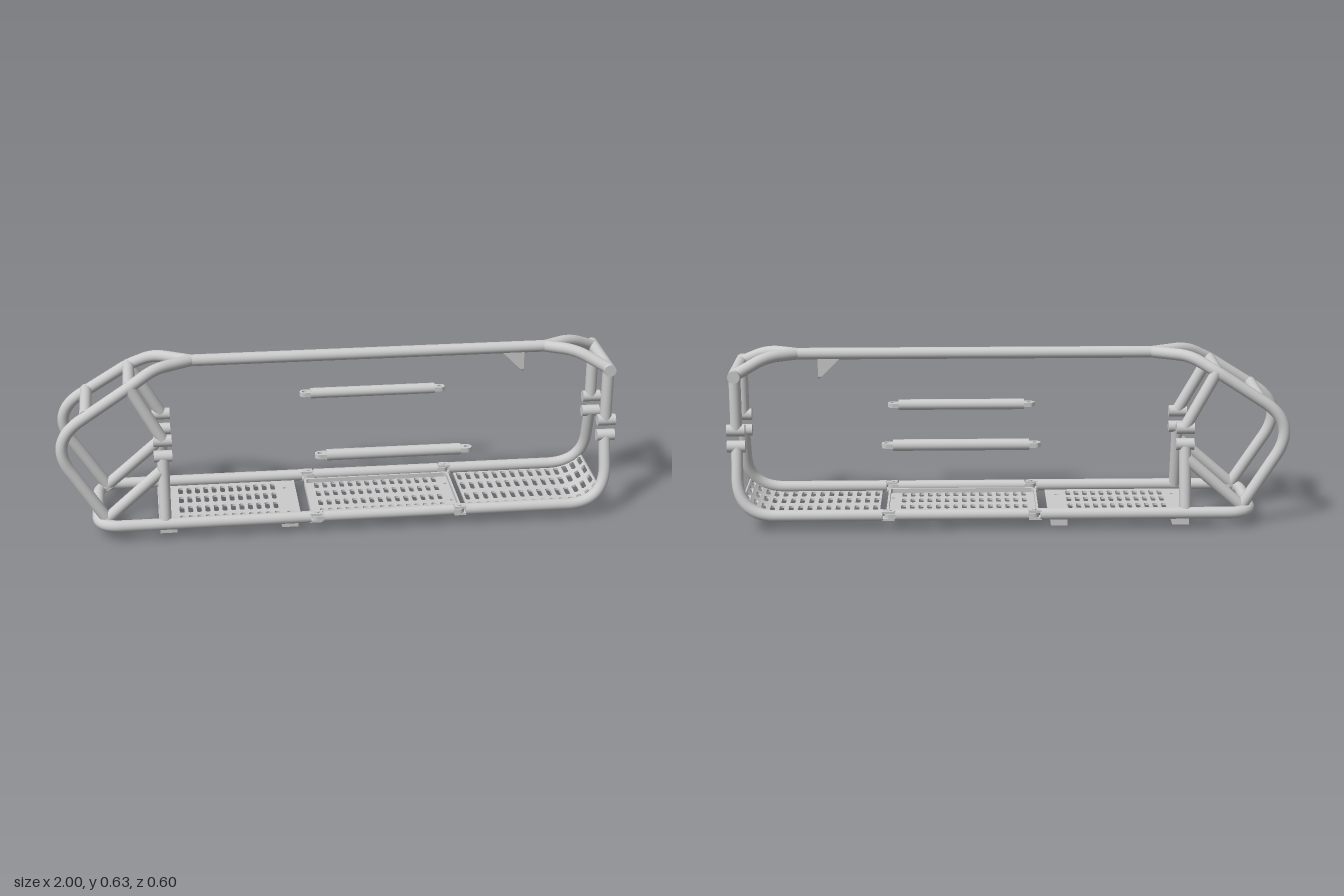
import * as THREE from 'three';

const R = 0.021;            // main tube radius
const RAIL_Y = 0.058, RAIL_Z = 0.178;
const V = (x, y, z) => new THREE.Vector3(x, y, z);

export function createModel() {
  const model = new THREE.Group();
  const mat = new THREE.MeshStandardMaterial({ color: 0xcccccc, side: THREE.DoubleSide });

  function add(name, geo, parent = model) {
    const mesh = new THREE.Mesh(geo, mat);
    mesh.name = name;
    parent.add(mesh);
    return mesh;
  }

  // straight capped rod between two points
  function rod(name, a, b, r = R, parent = model) {
    const mesh = add(name, new THREE.CylinderGeometry(r, r, a.distanceTo(b), 24), parent);
    mesh.position.copy(a).lerp(b, 0.5);
    mesh.quaternion.setFromUnitVectors(V(0, 1, 0), b.clone().sub(a).normalize());
    return mesh;
  }

  // bent tube: polyline whose inner corners are rounded; bends[i] is the tangent length
  function bentTube(name, pts, bends) {
    const path = new THREE.CurvePath();
    let from = pts[0];
    for (let i = 1; i < pts.length - 1; i++) {
      const toward = (p) => p.clone().sub(pts[i]).setLength(bends[i - 1]).add(pts[i]);
      const a = toward(pts[i - 1]), b = toward(pts[i + 1]);
      path.add(new THREE.LineCurve3(from, a));
      path.add(new THREE.QuadraticBezierCurve3(a, pts[i], b));
      from = b;
    }
    path.add(new THREE.LineCurve3(from, pts[pts.length - 1]));
    return add(name, new THREE.TubeGeometry(path, 120, R, 20));
  }

  // shape in the x/z plane laid flat, bottom at y
  function flat(shape, y, t) {
    const geo = new THREE.ExtrudeGeometry(shape, { depth: t, bevelEnabled: false, curveSegments: 6 });
    return geo.rotateX(Math.PI / 2).translate(0, y + t, 0);
  }

  function roundRect(target, x0, x1, z0, z1, r) {
    target.moveTo(x0 + r, z0);
    target.lineTo(x1 - r, z0);
    if (r) target.absarc(x1 - r, z0 + r, r, -Math.PI / 2, 0);
    target.lineTo(x1, z1 - r);
    if (r) target.absarc(x1 - r, z1 - r, r, 0, Math.PI / 2);
    target.lineTo(x0 + r, z1);
    if (r) target.absarc(x0 + r, z1 - r, r, Math.PI / 2, Math.PI);
    target.lineTo(x0, z0 + r);
    if (r) target.absarc(x0 + r, z0 + r, r, Math.PI, Math.PI * 1.5);
    return target;
  }

  // slotted plate; rows are slot centres in z, holes are [x, z]
  function plate(x0, x1, half, r, slotXs, rows, len, holes = []) {
    const shape = roundRect(new THREE.Shape(), x0, x1, -half, half, r);
    for (const x of slotXs) for (const z of rows)
      shape.holes.push(roundRect(new THREE.Path(), x - 0.009, x + 0.009, z - len / 2, z + len / 2, 0.0085));
    for (const [x, z] of holes)
      shape.holes.push(new THREE.Path().absarc(x, z, 0.007, 0, Math.PI * 2));
    return flat(shape, 0.036, 0.008);
  }
  const steps = (a, pitch, n) => Array.from({ length: n }, (_, i) => a + i * pitch);

  // floor panels
  add('rearFloorPanel', plate(-0.65, -0.14, 0.165, 0, steps(-0.565, 0.031, 12),
    [-0.115, -0.04, 0.04, 0.115], 0.052, [[-0.18, 0.1], [-0.18, -0.1], [-0.61, 0.1], [-0.61, -0.1]]));
  add('middleFloorPanel', plate(-0.105, 0.44, 0.14, 0.015, steps(-0.06, 0.0315, 15),
    [-0.108, -0.038, 0.038, 0.108], 0.045, [[0.42, 0.07], [0.42, -0.07]]));
  const rim = roundRect(new THREE.Shape(), -0.105, 0.44, -0.14, 0.14, 0.015);
  rim.holes.push(roundRect(new THREE.Path(), -0.097, 0.432, -0.132, 0.132, 0.01));
  add('middlePanelRim', flat(rim, 0.036, 0.024));

  // end panel: one strip per slot row, curled up along the rail bend
  const endPanel = new THREE.Group();
  endPanel.name = 'endFloorPanel';
  model.add(endPanel);
  const x0 = 0.465, count = 15, pitch = (0.974 - x0) / count;
  for (let i = 0; i < count; i++) {
    const a = x0 + i * pitch;
    const geo = plate(a, a + pitch, 0.172, 0, [a + pitch / 2], [-0.126, -0.045, 0.045, 0.126], 0.058);
    const p = geo.attributes.position;
    for (let k = 0; k < p.count; k++) {
      const x = p.getX(k), lift = p.getY(k) - 0.036;
      const ang = Math.max(0, x - 0.835) / 0.15;
      if (ang > 0) {
        const r = 0.152 - lift, y = 0.188 - r * Math.cos(ang);
        p.setXYZ(k, 0.835 + r * Math.sin(ang), y, p.getZ(k) * (1 - 1.5 * Math.max(0, y - 0.044)));
      }
    }
    geo.computeVertexNormals();
    add('endFloorStrip', geo, endPanel);
  }

  // feet under the floor
  for (const x of [-0.617, -0.18])
    add('crossFoot', new THREE.BoxGeometry(0.06, 0.037, 0.27)).position.set(x, 0.0185, 0);

  // bar with a pierced eye at each end
  function eyeBar(name, y, z) {
    const bar = new THREE.Group();
    bar.name = name;
    rod('barBody', V(-0.235, 0, 0), V(0.235, 0, 0), 0.02, bar);
    for (const s of [1, -1]) {
      const shape = new THREE.Shape();
      shape.moveTo(0.23, -0.018);
      shape.lineTo(0.257, -0.018);
      shape.absarc(0.257, 0, 0.018, -Math.PI / 2, Math.PI / 2);
      shape.lineTo(0.23, 0.018);
      shape.holes.push(new THREE.Path().absarc(0.257, 0, 0.009, 0, Math.PI * 2));
      const eye = add('barEye', flat(shape, -0.008, 0.016), bar);
      if (s < 0) eye.rotation.y = Math.PI;
    }
    bar.position.set(0.17, y, z);
    model.add(bar);
  }

  // lower rear loop runs round the end from one side to the other
  bentTube('rearRailLoop', [V(-0.118, RAIL_Y, RAIL_Z), V(-0.865, RAIL_Y, RAIL_Z),
    V(-0.865, RAIL_Y, -RAIL_Z), V(-0.118, RAIL_Y, -RAIL_Z)], [0.085, 0.085]);

  for (const s of [1, -1]) {
    // lower rail: end section, removable bar, forked joints
    bentTube('endRail', [V(0.458, RAIL_Y, s * RAIL_Z), V(0.965, RAIL_Y, s * RAIL_Z), V(0.965, 0.296, s * 0.113)], [0.14]);
    eyeBar('railBar', RAIL_Y, s * RAIL_Z);
    eyeBar('sideBar', 0.345, s * 0.28);
    for (const d of [1, -1]) {
      const X = (o) => 0.17 + d * o;
      rod('forkCollar', V(X(0.28), RAIL_Y, s * RAIL_Z), V(X(0.292), RAIL_Y, s * RAIL_Z));
      for (const h of [1, -1])
        add('forkPlate', new THREE.BoxGeometry(0.045, 0.008, 0.03))
          .position.set(X(0.262), RAIL_Y + h * 0.013, s * RAIL_Z);
      rod('forkPin', V(X(0.257), RAIL_Y - 0.02, s * RAIL_Z), V(X(0.257), RAIL_Y + 0.02, s * RAIL_Z), 0.008);
    }

    // rear hoop sweeping up into the top spine
    bentTube('rearHoop', [V(-0.825, 0.06, s * 0.142), V(-1.024, 0.373, s * 0.134),
      V(-0.735, 0.558, s * 0.112), V(-0.645, 0.607, s * 0.07), V(-0.515, 0.607, 0)], [0.14, 0.03, 0.045]);
    // forked end arms
    bentTube('endArm', [V(0.965, 0.555, s * 0.113), V(0.86, 0.607, s * 0.055), V(0.755, 0.607, 0)], [0.05]);

    // posts and braces
    rod('endPost', V(0.965, 0.555, s * 0.113), V(0.965, 0.36, s * 0.113));
    rod('rearUpperPost', V(-0.735, 0.558, s * 0.112), V(-0.627, 0.362, s * 0.122));
    rod('rearLowerPost', V(-0.627, RAIL_Y, s * 0.172), V(-0.627, 0.29, s * 0.124));
    rod('rearBrace', V(-0.84, 0.065, s * 0.142), V(-0.635, 0.245, s * 0.134));

    // split clamp cylinders
    for (const y of [0.356, 0.297]) {
      rod('endClamp', V(0.935, y, s * 0.113), V(1, y, s * 0.113));
      rod('rearClamp', V(-0.659, y, s * 0.122), V(-0.594, y, s * 0.122));
    }
  }

  // top spine and cross members
  rod('topSpine', V(-0.525, 0.607, 0), V(0.765, 0.607, 0));
  rod('endCrossbar', V(0.965, 0.555, -0.141), V(0.965, 0.555, 0.141), 0.022);
  rod('rearTopCrossbar', V(-0.735, 0.558, -0.112), V(-0.735, 0.558, 0.112));
  rod('rearHoopCrossbar', V(-0.89, 0.463, -0.125), V(-0.89, 0.463, 0.125));

  // wedge tongue under the spine: rounded tab with a slanted back
  const tab = new THREE.Shape();
  tab.moveTo(-0.0125, 0.6);
  tab.lineTo(-0.0125, 0.528);
  tab.absarc(0, 0.528, 0.0125, Math.PI, Math.PI * 2);
  tab.lineTo(0.0125, 0.6);
  const wedge = new THREE.ExtrudeGeometry(tab, { depth: 1, bevelEnabled: false });
  wedge.rotateY(Math.PI / 2);
  const w = wedge.attributes.position;
  for (let i = 0; i < w.count; i++)
    if (w.getX(i) < 0.5) w.setX(i, 0.68 - (w.getY(i) - 0.513));
    else w.setX(i, 0.68);
  wedge.computeVertexNormals();
  add('spineTongue', wedge);

  return model;
}
